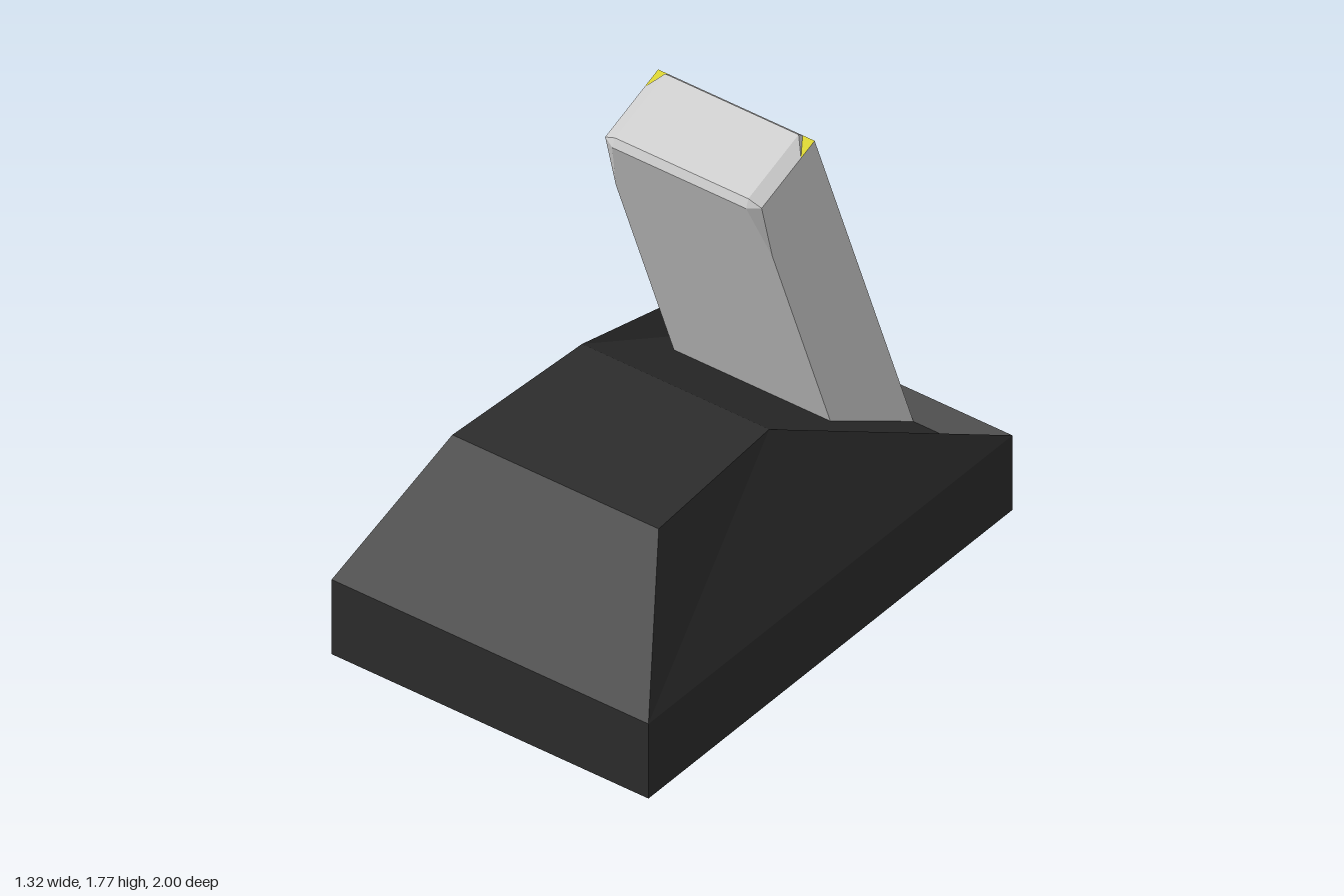
import * as THREE from 'three';

const material = (color) => new THREE.MeshStandardMaterial({ color, flatShading: true });
const dark = material(0x2c2c2c), grey = material(0xcccccc), yellow = material(0xd6ce20), black = material(0x141414);
black.side = THREE.DoubleSide;

// Mesh from convex polygons, corners counter-clockwise seen from outside
function polyMesh(name, polys, mat) {
  const pos = [];
  for (const p of polys)
    for (let i = 1; i < p.length - 1; i++) pos.push(...p[0], ...p[i], ...p[i + 1]);
  const geo = new THREE.BufferGeometry();
  geo.setAttribute('position', new THREE.Float32BufferAttribute(pos, 3));
  geo.computeVertexNormals();
  const mesh = new THREE.Mesh(geo, mat);
  mesh.name = name;
  return mesh;
}

// Side quads between stacked rings, skipping any that keep() rejects
function loft(rings, keep = () => true) {
  const polys = [];
  for (let r = 0; r < rings.length - 1; r++)
    rings[r].forEach((a, i) => {
      const j = (i + 1) % rings[r].length;
      if (keep(i)) polys.push([a, rings[r][j], rings[r + 1][j], rings[r + 1][i]]);
    });
  return polys;
}

// Rectangular ring with cut corners: f cuts the front pair, b the back pair ([x, z] amounts)
function ring(y, hw, front, back, f = [0, 0], b = [0, 0]) {
  return [
    [hw - f[0], y, front], [hw, y, front - f[1]], [hw, y, back + b[1]], [hw - b[0], y, back],
    [-hw + b[0], y, back], [-hw, y, back + b[1]], [-hw, y, front - f[1]], [-hw + f[0], y, front],
  ];
}

function createBase() {
  const square = (y) => [[0.66, y, 1], [0.66, y, -1], [-0.66, y, -1], [-0.66, y, 1]];
  const low = square(0), [fl, bl, br, fr] = square(0.31);
  const tfl = [0.43, 0.8, 0.64], tfr = [-0.43, 0.8, 0.64];
  const tbl = [0.39, 0.8, -0.02], tbr = [-0.39, 0.8, -0.02];
  const sl = [0.5, 0.265, -0.91], sr = [-0.5, 0.265, -0.91];
  return polyMesh('base', [
    [...low].reverse(),
    ...loft([low, square(0.31)]),
    [fr, fl, tfl, tfr],            // front slope
    [fl, bl, tbl, tfl], [br, fr, tfr, tbr], // side slopes
    [tfr, tfl, tbl, tbr],          // top
    [tbl, bl, sl], [tbr, sr, br],  // sides of the sunken rear cradle
    [tbr, tbl, sl, sr],            // cradle floor
    [sr, sl, bl, br],              // rear lip
  ], dark);
}

function createHandset() {
  const handset = new THREE.Group();
  handset.name = 'handset';
  const W = 0.326, D = -0.335, BOTTOM = -1.6;

  // Body shell, bevelled toward the top at the front corners
  const bevel = [0.047, 0.025];
  const rings = [ring(BOTTOM, W, 0, D), ring(-0.24, W, 0, D), ring(0, W, 0, D, bevel)];
  handset.add(polyMesh('body', [[...rings[0]].reverse(), ...loft(rings, (i) => i !== 3)], grey));

  // Back panel with the window cut out
  const win = [[-0.222, -0.31], [0.222, -0.31], [0.197, -0.117], [-0.197, -0.117]];
  const toVec = ([x, y]) => new THREE.Vector2(x, y);
  const panel = new THREE.Shape([[-W, BOTTOM], [W, BOTTOM], [W, 0], [-W, 0]].map(toVec));
  panel.holes.push(new THREE.Path([...win].reverse().map(toVec)));
  const back = new THREE.Mesh(new THREE.ShapeGeometry(panel), grey);
  back.name = 'backPanel';
  back.rotation.y = Math.PI;
  back.position.z = D;
  handset.add(back);

  // Dark recess behind the window
  const at = (z) => win.map(([x, y]) => [x, y, z]);
  handset.add(polyMesh('windowRecess', [...loft([at(D), at(D + 0.07)]), at(D + 0.07)], black));

  // Raised cap
  const cut = [0.05, 0.08];
  const capLow = ring(0, W, 0, D, bevel, cut);
  const capTop = ring(0.026, 0.278, -0.024, -0.318);
  handset.add(polyMesh('cap', [...loft([capLow, capTop]), capTop], grey));

  // Yellow corners showing behind the cap
  for (const s of [1, -1]) {
    const tri = [[s * W, 0, D + cut[1]], [s * W, 0, D], [s * (W - cut[0]), 0, D]];
    handset.add(polyMesh('cornerInlay', [s > 0 ? tri : tri.reverse()], yellow));
  }

  // Keypad: thin plate with keys in a checkerboard
  const keypad = new THREE.Group();
  keypad.name = 'keypad';
  const rows = 7, pitch = 0.132, top = -0.413;
  const plate = new THREE.Mesh(new THREE.BoxGeometry(0.3, rows * pitch, 0.008), yellow);
  plate.name = 'keyPlate';
  plate.position.set(0.007, top - rows * pitch / 2, D);
  keypad.add(plate);
  for (let r = 0; r < rows; r++)
    for (const c of r % 2 ? [-1, 1] : [0]) {
      const key = new THREE.Mesh(new THREE.BoxGeometry(0.1, pitch, 0.095), yellow);
      key.name = 'key';
      key.position.set(0.007 + c * 0.1, top - (r + 0.5) * pitch, D - 0.0475);
      keypad.add(key);
    }
  handset.add(keypad);

  handset.position.set(-0.012, 1.64, -0.055);
  handset.rotation.x = THREE.MathUtils.degToRad(20);
  return handset;
}

export function createModel() {
  const model = new THREE.Group();
  model.name = 'handsetOnDock';
  model.add(createBase(), createHandset());
  return model;
}
